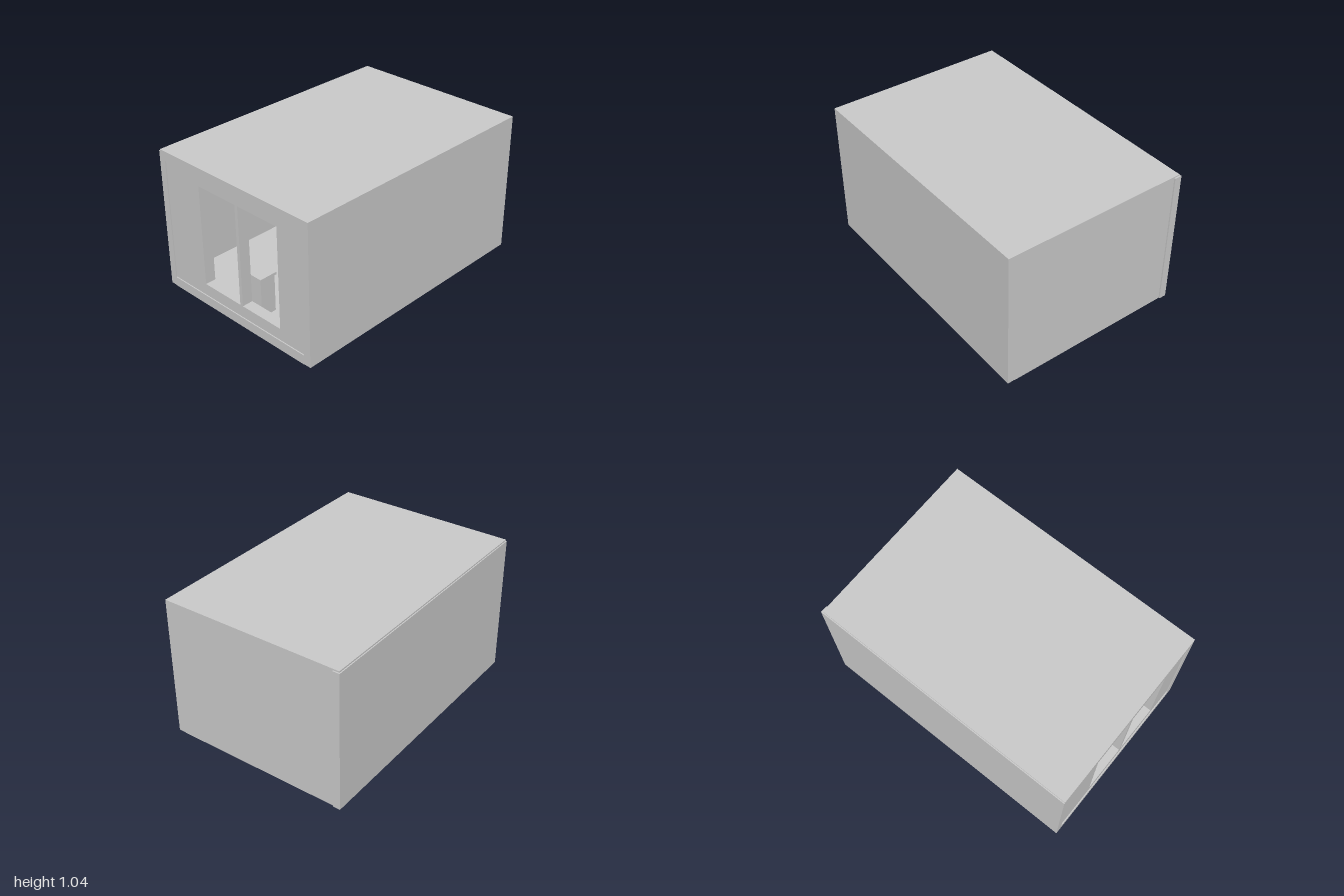
import * as THREE from 'three';

const material = new THREE.MeshStandardMaterial({ color: 0xcccccc });

// Box given by its minimum and maximum corners.
function box(name, [x0, y0, z0], [x1, y1, z1]) {
  const geo = new THREE.BoxGeometry(x1 - x0, y1 - y0, z1 - z0);
  geo.translate((x0 + x1) / 2, (y0 + y1) / 2, (z0 + z1) / 2);
  const mesh = new THREE.Mesh(geo, material);
  mesh.name = name;
  return mesh;
}

// Rectangle outline, drawn as a shape or a hole.
function rect(path, x0, y0, x1, y1) {
  path.moveTo(x0, y0).lineTo(x1, y0).lineTo(x1, y1).lineTo(x0, y1).closePath();
  return path;
}

// Window wall: a slab with two tall openings either side of a thin mullion.
function windowWall() {
  const shape = rect(new THREE.Shape(), -0.63, 0.07, 0.63, 0.97);
  for (const [z0, z1] of [[-0.31, 0.035], [0.06, 0.41]]) {
    shape.holes.push(rect(new THREE.Path(), z0, 0.157, z1, 0.9));
  }
  const geo = new THREE.ExtrudeGeometry(shape, { depth: 0.08, bevelEnabled: false });
  geo.rotateY(-Math.PI / 2).translate(-0.912, 0, 0);
  const mesh = new THREE.Mesh(geo, material);
  mesh.name = 'windowWall';
  return mesh;
}

// Low cabinet under the window with worktop, door and tap.
function washCabinet() {
  const group = new THREE.Group();
  group.name = 'washCabinet';
  group.add(
    box('cabinetBody', [-0.91, 0.07, 0.04], [-0.79, 0.34, 0.15]),
    box('cabinetDoor', [-0.905, 0.085, 0.03], [-0.795, 0.32, 0.04]),
    box('worktop', [-0.91, 0.34, 0.01], [-0.77, 0.36, 0.15])
  );
  const curve = new THREE.CatmullRomCurve3([
    new THREE.Vector3(-0.88, 0.31, 0.03),
    new THREE.Vector3(-0.88, 0.31, 0.01),
    new THREE.Vector3(-0.86, 0.305, 0),
    new THREE.Vector3(-0.86, 0.285, 0)
  ]);
  const handle = new THREE.Mesh(new THREE.TubeGeometry(curve, 12, 0.005, 8), material);
  handle.name = 'doorHandle';
  group.add(handle);
  return group;
}

// Slatted panel standing against the front wall.
function slattedPanel() {
  const group = new THREE.Group();
  group.name = 'slattedPanel';
  group.add(box('panelBack', [-0.5, 0.07, 0.61], [-0.28, 0.45, 0.628]));
  for (let i = 0; i < 6; i++) {
    const x = -0.495 + i * 0.036;
    group.add(box('panelSlat', [x, 0.08, 0.6], [x + 0.028, 0.44, 0.61]));
  }
  return group;
}

export function createModel() {
  const model = new THREE.Group();
  model.name = 'roomModule';

  // Outer shell
  model.add(
    box('floor', [-1, 0, -0.63], [0.99, 0.07, 0.63]),
    box('roof', [-1, 0.97, -0.675], [0.99, 1.04, 0.683]),
    box('frontWall', [-1, 0.003, 0.63], [0.99, 0.97, 0.683]),
    box('backWall', [-1, 0.003, -0.683], [1, 1.03, -0.63]),
    box('sideWall', [0.91, 0.07, -0.63], [0.99, 0.97, 0.63]),
    windowWall()
  );

  // Furniture seen through the window
  model.add(
    box('storageCube', [-0.82, 0.07, 0.45], [-0.645, 0.285, 0.63]),
    washCabinet(),
    slattedPanel()
  );
  return model;
}
